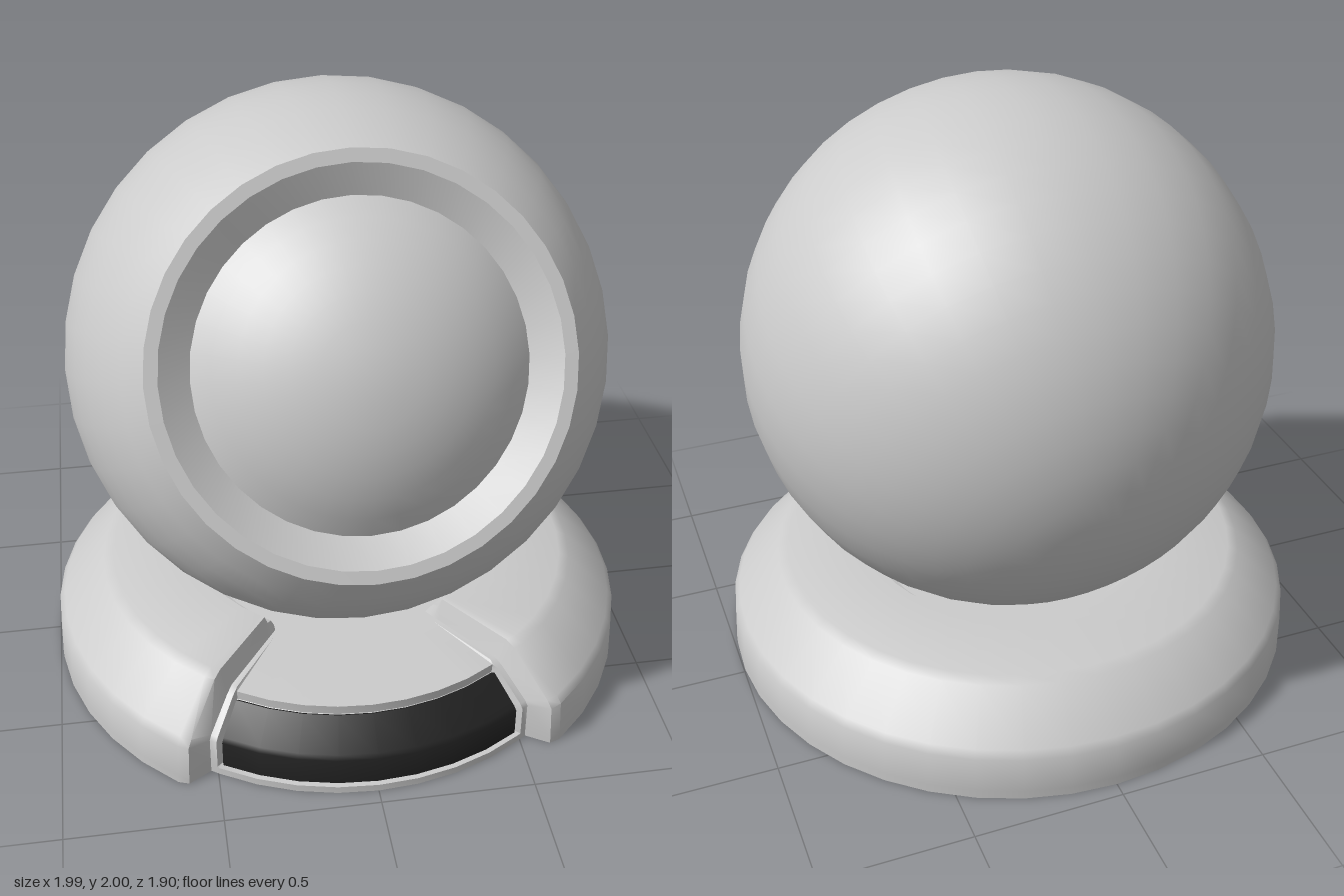
import * as THREE from 'three';
import { toCreasedNormals } from 'three/addons/utils/BufferGeometryUtils.js';

const CENTRE_Z = 0.045;
const grey = new THREE.MeshStandardMaterial({ color: 0xcccccc });
const dark = new THREE.MeshStandardMaterial({ color: 0x222222 });

// Skin a surface through [angle, profile] sections; profiles are [radius, y] lists
function loft(sections, closed, crease) {
  const n = sections[0][1].length;
  const pos = [], index = [];
  for (const [a, profile] of sections)
    for (const [r, y] of profile) pos.push(r * Math.sin(a), y, r * Math.cos(a));
  const count = closed ? sections.length : sections.length - 1;
  for (let i = 0; i < count; i++) {
    const k = ((i + 1) % sections.length) * n;
    for (let j = 0; j < n - 1; j++) {
      const a = i * n + j, b = k + j;
      index.push(a, b, a + 1, b, b + 1, a + 1);
    }
  }
  const g = new THREE.BufferGeometry();
  g.setAttribute('position', new THREE.Float32BufferAttribute(pos, 3));
  g.setIndex(index);
  return toCreasedNormals(g, crease);
}

// The same profile repeated over a range of angles
function sweep(from, to, steps, profile) {
  return Array.from({ length: steps + 1 }, (_, i) => [from + (to - from) * i / steps, profile]);
}

// Points on a circular arc, measured from the pole
function arc(radius, from, to, steps) {
  return Array.from({ length: steps + 1 }, (_, i) => {
    const t = from + (to - from) * i / steps;
    return new THREE.Vector2(Math.max(0, radius * Math.sin(t)), radius * Math.cos(t));
  });
}

function createHead() {
  const outer = 0.887, inner = 0.752;
  // Outer shell, flat rim, bevelled recess and inner ball in one profile
  const profile = [
    ...arc(outer, Math.PI, Math.asin(0.647 / outer), 20),
    new THREE.Vector2(0.605, 0.607),
    ...arc(inner, Math.asin(0.51 / inner), 0, 7),
  ];
  const head = new THREE.Mesh(toCreasedNormals(new THREE.LatheGeometry(profile, 36), 0.45), grey);
  head.name = 'ballWithRecessedFace';
  head.position.set(0, 1.115, CENTRE_Z);
  head.rotation.x = Math.atan2(0.911, 0.411);
  return head;
}

function createBase() {
  const full = [[0, 0], [0.997, 0], [0.997, 0.025], [0.997, 0.03], [0.99, 0.155], [0.972, 0.18],
    [0.825, 0.315], [0.79, 0.33], [0.5, 0.33], [0.48, 0.29], [0.46, 0.285], [0.44, 0.25], [0, 0.25]];
  const recess = [[0, 0], [0.905, 0], [0.905, 0.025], [0.905, 0.03], [0.905, 0.135], [0.895, 0.15],
    [0.785, 0.235], [0.755, 0.25], [0.5, 0.25], [0.48, 0.25], [0.46, 0.25], [0.44, 0.25], [0, 0.25]];
  // Slightly shrunken profile that chamfers the ends of the raised ring
  const chamfer = full.map(([r, y], i) => (i > 0 && i < 8 ? [r - 0.012, Math.max(0, y - 0.008)] : [r, y]));
  // Recess with a pocket for the dark panel
  const pocket = recess.map((p) => [...p]);
  pocket[3] = [0.87, 0.026];
  pocket[4] = [0.87, 0.12];
  pocket[5] = [0.86, 0.135];
  pocket[6] = [0.768, 0.21];
  pocket[7] = [0.77, 0.243];

  const turn = Math.PI * 2;
  const base = new THREE.Mesh(loft([
    ...sweep(0.685, turn - 0.685, 32, full),
    [turn - 0.65, chamfer], [turn - 0.615, recess], [turn - 0.588, recess],
    ...sweep(turn - 0.58, turn + 0.58, 8, pocket),
    [0.588, recess], [0.615, recess], [0.65, chamfer],
  ], true, 0.72), grey);
  base.name = 'baseRing';
  base.position.z = CENTRE_Z;
  return base;
}

function createPanel() {
  const face = [[0.865, 0.028], [0.89, 0.028], [0.89, 0.125], [0.88, 0.14], [0.785, 0.22], [0.765, 0.205]];
  const floor = [[0.865, 0.028], [0.865, 0.028], [0.865, 0.12], [0.855, 0.135], [0.765, 0.205], [0.765, 0.205]];
  const panel = new THREE.Mesh(loft([
    [-0.576, floor], ...sweep(-0.574, 0.574, 8, face), [0.576, floor],
  ], false, 0.72), dark);
  panel.name = 'frontPanel';
  panel.position.z = CENTRE_Z;
  return panel;
}

export function createModel() {
  const model = new THREE.Group();
  model.name = 'previewBallOnStand';
  model.add(createHead(), createBase(), createPanel());
  return model;
}
